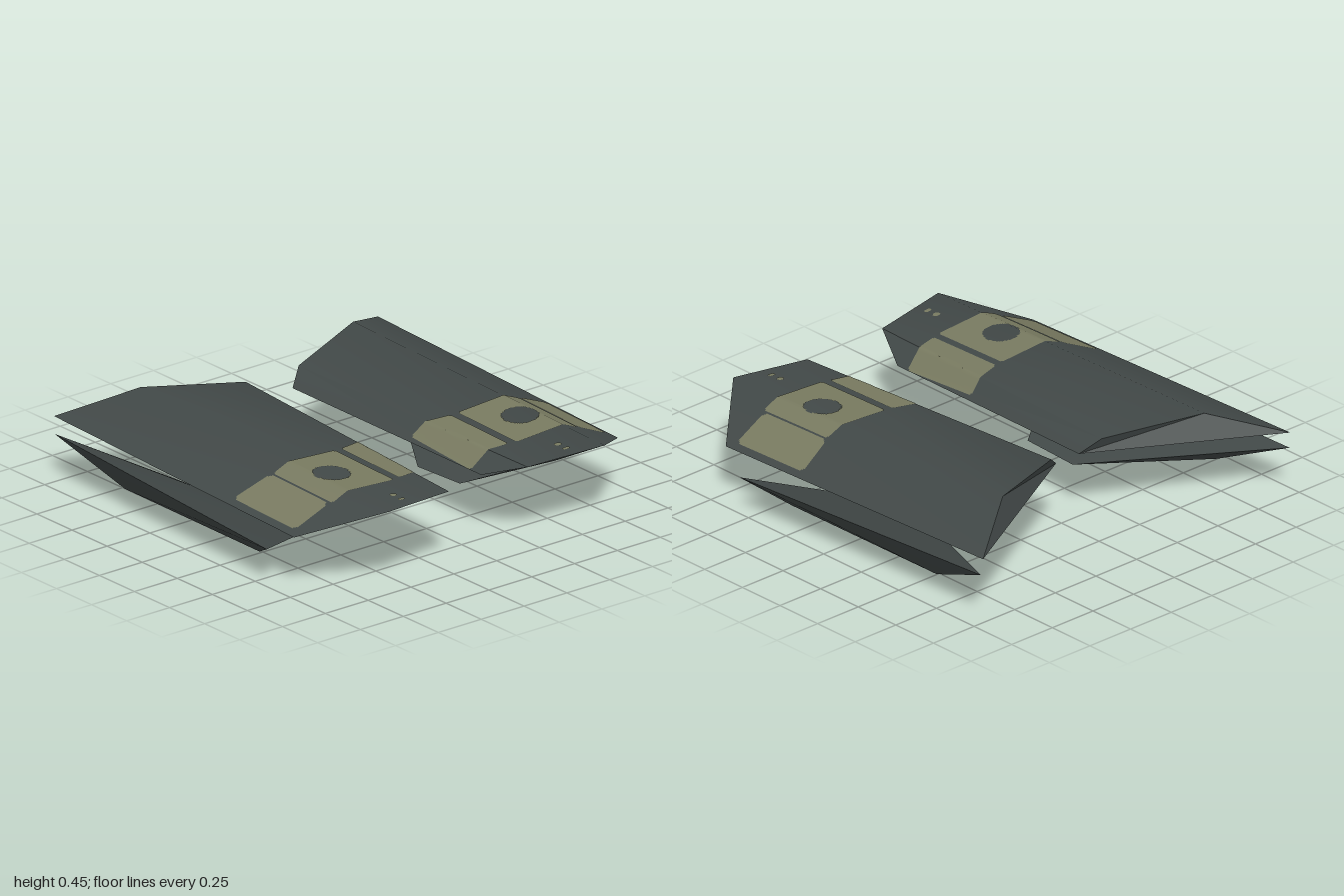
import * as THREE from 'three';
import { toCreasedNormals } from 'three/addons/utils/BufferGeometryUtils.js';

const V = (x, y, z) => new THREE.Vector3(x, y, z);

// Sections run clockwise as seen from the front: front ring, then rear ring.
const SHELL = {
  front: [V(0.13, 0.30, 0.73), V(0.23, 0.378, 0.94), V(0.63, 0.40, 1.0), V(0.945, 0.265, 0.71)],
  rear: [V(0.07, 0.34, -0.54), V(0.155, 0.41, -0.60), V(0.62, 0.447, -0.78), V(0.945, 0.32, -1.0)],
};
const FIN = {
  front: [V(0.44, 0.012, 0.2), V(0.99, 0.175, 0.57), V(0.86, 0.065, 0.36)],
  rear: [V(0.44, 0, -0.1), V(0.95, 0.238, -0.99), V(0.86, 0.07, -0.6)],
};

// Triangles of the strips joining the two rings
function sides({ front, rear }, count = front.length) {
  const tris = [];
  for (let i = 0; i < count; i++) {
    const j = (i + 1) % front.length;
    tris.push([front[i], front[j], rear[j]], [front[i], rear[j], rear[i]]);
  }
  return tris;
}

// Closed solid between two rings
function solid(part) {
  const tris = sides(part);
  const { front, rear } = part;
  for (let i = 1; i < front.length - 1; i++) {
    tris.push([front[0], front[i + 1], front[i]], [rear[0], rear[i], rear[i + 1]]);
  }
  return tris;
}

// Height of the shell's upper skin above (x, z)
const SKIN = sides(SHELL, 3);
function skinHeight(x, z) {
  let best = null;
  let bestInside = -Infinity;
  for (const [a, b, c] of SKIN) {
    const d = (b.z - c.z) * (a.x - c.x) + (c.x - b.x) * (a.z - c.z);
    const u = ((b.z - c.z) * (x - c.x) + (c.x - b.x) * (z - c.z)) / d;
    const v = ((c.z - a.z) * (x - c.x) + (a.x - c.x) * (z - c.z)) / d;
    const inside = Math.min(u, v, 1 - u - v);
    if (inside > bestInside) {
      bestInside = inside;
      best = u * a.y + v * b.y + (1 - u - v) * c.y;
    }
  }
  return best;
}

// Painted panel following the skin: z ranges at its inner and outer edges,
// rounded corners and an optional round hole
function panel({ x0, x1, zIn, zOut, r, hole, step = 0.008 }) {
  const width = x1 - x0;
  const depth = zIn[1] - zIn[0];
  const nu = Math.ceil(width / step);
  const nv = Math.ceil(depth / step);
  const at = (i, j) => {
    const u = i / nu;
    const z0 = THREE.MathUtils.lerp(zIn[0], zOut[0], u);
    const z1 = THREE.MathUtils.lerp(zIn[1], zOut[1], u);
    const x = x0 + u * width;
    const z = THREE.MathUtils.lerp(z0, z1, j / nv);
    return V(x, skinHeight(x, z) + 0.003, z);
  };
  const tris = [];
  for (let i = 0; i < nu; i++) {
    for (let j = 0; j < nv; j++) {
      const cu = Math.abs((i + 0.5) / nu - 0.5) * width - (width / 2 - r);
      const cv = Math.abs((j + 0.5) / nv - 0.5) * depth - (depth / 2 - r);
      if (cu > 0 && cv > 0 && Math.hypot(cu, cv) > r) continue;
      const mid = at(i + 0.5, j + 0.5);
      if (hole && Math.hypot(mid.x - hole.x, mid.z - hole.z) < hole.r) continue;
      const [a, b, c, d] = [at(i, j), at(i, j + 1), at(i + 1, j + 1), at(i + 1, j)];
      tris.push([a, b, c], [a, c, d]);
    }
  }
  return tris;
}

// Mesh from triangles; side -1 mirrors them and reverses their order
function build(name, tris, side, material, crease) {
  const points = tris.flatMap(([a, b, c]) => (side > 0 ? [a, b, c] : [a, c, b]))
    .map((p) => V(p.x * side, p.y, p.z));
  const geometry = new THREE.BufferGeometry().setFromPoints(points);
  const mesh = new THREE.Mesh(toCreasedNormals(geometry, crease), material);
  mesh.name = name;
  return mesh;
}

export function createModel() {
  const armour = new THREE.MeshStandardMaterial({ color: 0x414847 });
  armour.name = 'dark grey';
  const paint = new THREE.MeshStandardMaterial({ color: 0x787a60 });
  paint.name = 'khaki';

  const panels = {
    innerPanel: { x0: 0.125, x1: 0.32, zIn: [0.235, 0.66], zOut: [0.28, 0.695], r: 0.025 },
    centrePanel: {
      x0: 0.358, x1: 0.717, zIn: [0.283, 0.705], zOut: [0.283, 0.705], r: 0.025,
      hole: { x: 0.55, z: 0.495, r: 0.085 },
    },
    outerPanel: { x0: 0.726, x1: 0.912, zIn: [0.275, 0.69], zOut: [0.235, 0.675], r: 0.03 },
    rearDot: { x0: 0.462, x1: 0.498, zIn: [0.835, 0.865], zOut: [0.835, 0.865], r: 0.015, step: 0.004 },
    frontDot: { x0: 0.462, x1: 0.498, zIn: [0.897, 0.918], zOut: [0.897, 0.918], r: 0.01, step: 0.004 },
  };

  const model = new THREE.Group();
  model.name = 'armourPlates';
  for (const [label, side] of [['left', 1], ['right', -1]]) {
    const half = new THREE.Group();
    half.name = `${label}Half`;
    half.add(build('upperShell', solid(SHELL), side, armour, 0.6));
    half.add(build('lowerFin', solid(FIN), side, armour, 0.6));
    for (const [name, spec] of Object.entries(panels)) {
      half.add(build(name, panel(spec), side, paint, 0.6));
    }
    model.add(half);
  }
  return model;
}
